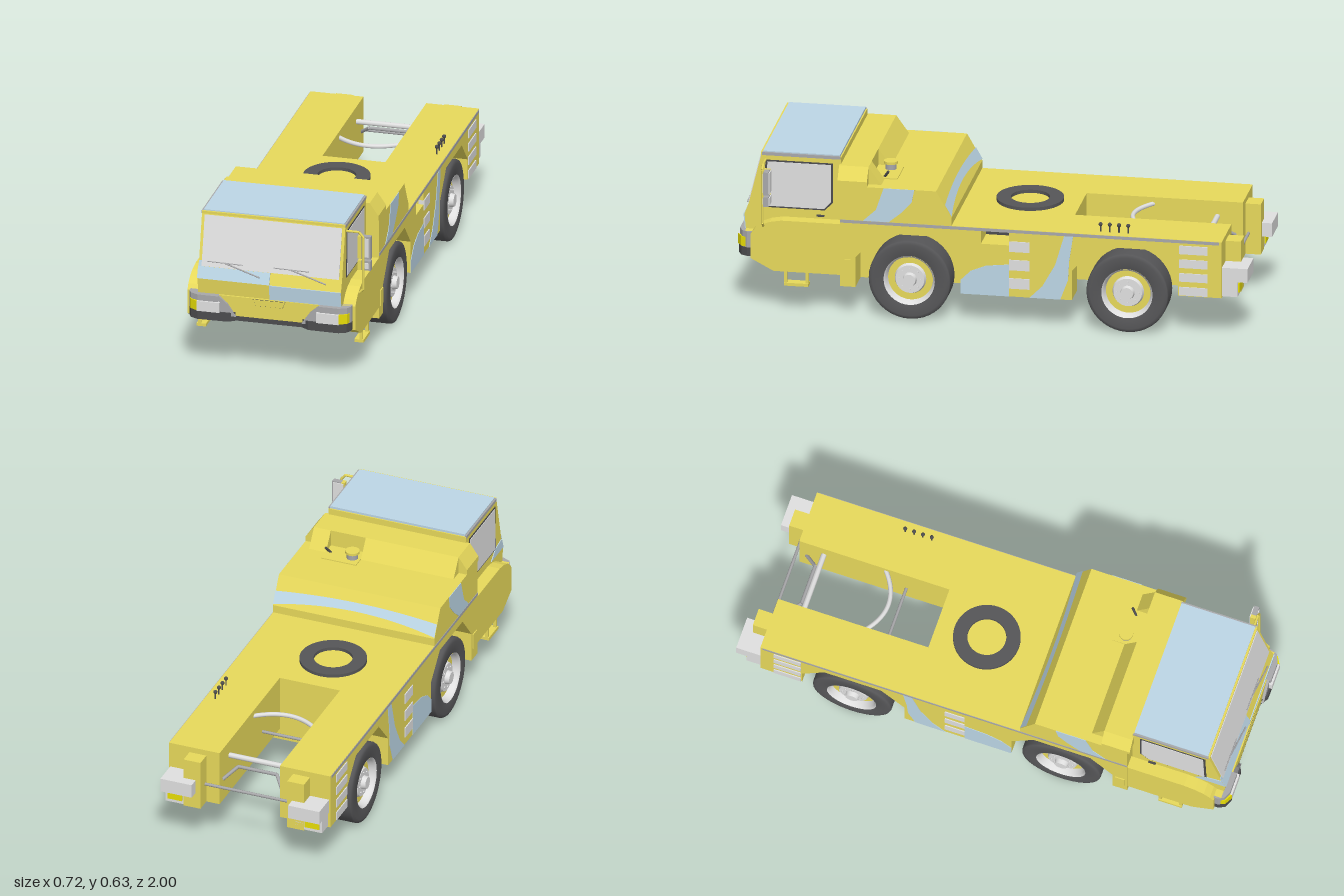
import * as THREE from 'three';

const mat = (name, color) => Object.assign(new THREE.MeshStandardMaterial({ color }), { name });

export function createModel() {
  const root = new THREE.Group();
  root.name = 'towTractor';
  const g = new THREE.Group(); // body is symmetric about its own centre line
  g.name = 'vehicle';
  g.position.x = -0.02;
  root.add(g);

  const yellow = mat('bodyYellow', 0xe7d95b);
  const blue = mat('patchBlue', 0xbcd6e6);
  const glass = mat('glassGrey', 0xe0e0e0);
  const metal = mat('metalGrey', 0xe0e0e0);
  const trim = mat('trimGrey', 0xa8a8aa);
  const dark = mat('darkGrey', 0x4c4c4e);
  const rubber = mat('rubber', 0x565658);
  const amber = mat('lampYellow', 0xf0e608);
  metal.side = THREE.DoubleSide;

  const add = (name, geo, m, parent = g) => {
    const mesh = new THREE.Mesh(geo, m);
    mesh.name = name;
    parent.add(mesh);
    return mesh;
  };
  // box from min/max limits
  const box = (name, m, x0, x1, y0, y1, z0, z1) => {
    const b = add(name, new THREE.BoxGeometry(x1 - x0, y1 - y0, z1 - z0), m);
    b.position.set((x0 + x1) / 2, (y0 + y1) / 2, (z0 + z1) / 2);
  };
  const pairBox = (name, m, x0, x1, ...r) => {
    box(name, m, x0, x1, ...r);
    box(name, m, -x1, -x0, ...r);
  };
  // [z, y] outline extruded across x
  const side = (name, m, pts, x0, x1) => {
    const shape = new THREE.Shape(pts.map(([z, y]) => new THREE.Vector2(-z, y)));
    const geo = new THREE.ExtrudeGeometry(shape, { depth: x1 - x0, bevelEnabled: false });
    add(name, geo.rotateY(Math.PI / 2).translate(x0, 0, 0), m);
  };
  const pairSide = (name, m, pts, x0, x1) => {
    side(name, m, pts, x0, x1);
    side(name, m, pts, -x1, -x0);
  };
  // [x, y] outline extruded along z
  const front = (name, m, pts, z0, z1) => {
    const shape = new THREE.Shape(pts.map(([x, y]) => new THREE.Vector2(x, y)));
    const geo = new THREE.ExtrudeGeometry(shape, { depth: z1 - z0, bevelEnabled: false });
    add(name, geo.translate(0, 0, z0), m);
  };
  // [x, z] outline extruded upwards
  const plan = (name, m, pts, y0, y1) => {
    const shape = new THREE.Shape(pts.map(([x, z]) => new THREE.Vector2(x, -z)));
    const geo = new THREE.ExtrudeGeometry(shape, { depth: y1 - y0, bevelEnabled: false });
    add(name, geo.rotateX(-Math.PI / 2).translate(0, y0, 0), m);
  };
  // thin plate lying on a sloped line from [z, y] a to b
  const strip = (name, m, a, b, x0, x1, t = 0.004) => {
    const dz = b[0] - a[0], dy = b[1] - a[1], l = Math.hypot(dz, dy);
    const n = [-dy / l * t, dz / l * t];
    side(name, m, [a, b, [b[0] + n[0], b[1] + n[1]], [a[0] + n[0], a[1] + n[1]]], x0, x1);
  };
  const bar = (name, m, a, b, r) => {
    const A = new THREE.Vector3(...a), B = new THREE.Vector3(...b), d = B.clone().sub(A);
    const c = add(name, new THREE.CylinderGeometry(r, r, d.length(), 8), m);
    c.position.copy(A).add(B).multiplyScalar(0.5);
    c.quaternion.setFromUnitVectors(new THREE.Vector3(0, 1, 0), d.normalize());
  };

  // chassis: side panels with angular wheel arches, core, rear rails
  const W = 0.335;
  const panel = [
    [0.59, 0.385], [0.59, 0.12], [0.53, 0.12], [0.53, 0.24], [0.44, 0.345], [0.21, 0.345],
    [0.12, 0.25], [0.12, 0.12], [-0.315, 0.12], [-0.315, 0.24], [-0.41, 0.345], [-0.64, 0.345],
    [-0.73, 0.25], [-0.73, 0.165], [-0.9, 0.165], [-0.9, 0.385]];
  const notch = [[-0.07, 0.385], [-0.07, 0.328], [0.04, 0.328], [0.04, 0.385]];
  side('leftSidePanel', yellow, [...panel, ...notch], 0.22, W);
  side('rightSidePanel', yellow, panel, -W, -0.22);
  box('leftRecessBack', dark, 0.22, 0.224, 0.328, 0.385, -0.07, 0.04);
  box('chassisCore', yellow, -0.22, 0.22, 0.12, 0.385, -0.29, 0.59);
  pairBox('rearRail', yellow, 0.125, 0.22, 0.165, 0.385, -0.9, -0.29);
  box('deck', yellow, -W, W, 0.385, 0.393, -0.29, 0.59);
  pairBox('rearDeck', yellow, 0.125, W, 0.385, 0.393, -0.9, -0.29);
  pairBox('deckEdge', trim, W, W + 0.002, 0.38, 0.392, -0.89, 0.59);

  // painted side patches
  pairSide('sidePatch', blue, [[0.12, 0.12], [0.12, 0.175], [0.08, 0.215], [0.02, 0.24], [-0.07, 0.25],
    [-0.07, 0.12]], W, W + 0.002);
  pairSide('sideStripe', blue, [[-0.15, 0.12], [-0.2, 0.17], [-0.25, 0.26], [-0.285, 0.38], [-0.32, 0.38],
    [-0.305, 0.28], [-0.3, 0.2], [-0.27, 0.12]], W, W + 0.002);
  pairSide('hoodPatch', blue, [[0.5, 0.393], [0.45, 0.44], [0.42, 0.53], [0.3, 0.53], [0.31, 0.48],
    [0.35, 0.435], [0.4, 0.393]], W, W + 0.002);

  // ladder steps
  for (let i = 0; i < 3; i++) {
    const y = 0.153 + i * 0.075;
    pairBox('middleStep', metal, W - 0.02, W + 0.004, y, y + 0.042, -0.15, -0.07);
  }
  for (let i = 0; i < 4; i++) {
    const y = 0.168 + i * 0.056;
    pairBox('rearStep', metal, W - 0.02, W + 0.004, y, y + 0.034, -0.845, -0.735);
  }
  pairBox('frontFoothold', yellow, W, W + 0.004, 0.168, 0.232, 0.541, 0.579);

  // engine hood behind the cab, with a filler bay cut into its slope
  side('hood', yellow, [[0.59, 0.39], [0.59, 0.53], [0.215, 0.53], [0.155, 0.425], [0.155, 0.39]], -W, W);
  front('tallHood', yellow, [[-W, 0.53], [W, 0.53], [W, 0.55], [0.3, 0.6], [-0.3, 0.6], [-W, 0.55]], 0.485, 0.6);
  const ramp = [[0.485, 0.53], [0.485, 0.6], [0.435, 0.53]];
  side('hoodSlope', yellow, ramp, -0.3, 0.085);
  side('hoodSlope', yellow, ramp, 0.23, 0.3);
  box('fillerPlate', yellow, 0.085, 0.23, 0.53, 0.534, 0.385, 0.485);
  add('fillerPipe', new THREE.CylinderGeometry(0.022, 0.022, 0.03, 16), trim).position.set(0.118, 0.545, 0.43);
  add('fillerCap', new THREE.CylinderGeometry(0.028, 0.028, 0.01, 16), yellow).position.set(0.118, 0.562, 0.43);
  bar('fillerLever', dark, [0.21, 0.53, 0.44], [0.225, 0.56, 0.42], 0.005);

  // arched stripe laid on the sloping back of the hood
  const arch = new THREE.Shape();
  arch.moveTo(-W, 0.157).quadraticCurveTo(0, 0.193, W, 0.157).lineTo(W, 0.183).quadraticCurveTo(0, 0.201, -W, 0.183);
  const archGeo = new THREE.ShapeGeometry(arch, 16);
  const ap = archGeo.attributes.position;
  for (let i = 0; i < ap.count; i++) {
    const z = ap.getY(i);
    ap.setXYZ(i, -ap.getX(i), 0.427 + (z - 0.155) * 1.75, z - 0.003);
  }
  archGeo.computeVertexNormals();
  add('hoodStripe', archGeo, blue);

  // cab
  const C = 0.285;
  side('cabUpper', yellow, [[0.595, 0.3], [0.965, 0.3], [0.972, 0.375], [0.955, 0.42], [0.905, 0.625],
    [0.595, 0.625]], -C, C);
  side('cabLower', yellow, [[0.59, 0.165], [0.85, 0.165], [0.95, 0.217], [0.965, 0.315], [0.59, 0.315]], -0.315, 0.315);
  // fender along each side, its top rounding down towards the front
  pairSide('cabFender', yellow, [[0.59, 0.165], [0.85, 0.165], [0.94, 0.212], [0.94, 0.31], [0.925, 0.33],
    [0.9, 0.35], [0.865, 0.364], [0.82, 0.372], [0.59, 0.372]], C, W - 0.001);
  box('roof', blue, -C + 0.005, C - 0.005, 0.625, 0.634, 0.6, 0.9);
  pairBox('roofGutter', trim, C - 0.005, C + 0.002, 0.618, 0.63, 0.598, 0.903);
  box('roofFrontEdge', yellow, -C, C, 0.62, 0.63, 0.9, 0.908);

  // windscreen lies on the sloped front
  const slope = y => 0.955 - (y - 0.42) * 0.05 / 0.205;
  strip('windscreen', glass, [slope(0.616), 0.616], [slope(0.421), 0.421], -0.273, 0.273, 0.004);
  strip('frontPatchUpper', blue, [0.955, 0.42], [0.972, 0.375], -C, 0);
  strip('frontPatchLower', blue, [0.972, 0.375], [0.9664, 0.315], 0, C);
  strip('pillarPatch', blue, [slope(0.442), 0.442], [0.955, 0.42], -C, -0.273, 0.003);
  side('cabSidePatch', blue, [[0.85, 0.375], [0.971, 0.375], [0.955, 0.42], [0.89, 0.41]], -C - 0.003, -C);

  // side windows
  pairSide('sideWindowSeal', dark, [[0.89, 0.6], [0.895, 0.407], [0.658, 0.407], [0.626, 0.441], [0.626, 0.6]], C, C + 0.002);
  pairSide('sideWindow', glass, [[0.882, 0.594], [0.887, 0.413], [0.66, 0.413], [0.633, 0.443], [0.633, 0.594]], C, C + 0.004);
  pairBox('doorHandle', dark, C, C + 0.008, 0.382, 0.388, 0.66, 0.69);

  // wipers
  for (const x of [-0.04, 0.223]) {
    bar('wiperArm', trim, [x, 0.402, 0.97], [x - 0.14, 0.442, 0.958], 0.003);
    bar('wiperBlade', trim, [x - 0.21, 0.443, 0.957], [x - 0.07, 0.441, 0.957], 0.002);
  }

  // bumper and lamps
  plan('bumper', dark, [[-0.322, 0.925], [-0.322, 0.955], [-0.31, 0.98], [-0.28, 0.994], [-0.16, 0.992], [-0.13, 0.972],
    [0.13, 0.972], [0.16, 0.992], [0.28, 0.994], [0.31, 0.98], [0.322, 0.955], [0.322, 0.925]], 0.215, 0.25);
  box('bumperPanel', yellow, -0.2, 0.2, 0.235, 0.315, 0.94, 0.974);
  front('grabRecessLine', dark, [[-0.065, 0.312], [-0.054, 0.286], [0.054, 0.286], [0.065, 0.312]], 0.97, 0.975);
  front('grabRecess', yellow, [[-0.064, 0.311], [-0.053, 0.287], [0.053, 0.287], [0.064, 0.311]], 0.97, 0.9765);
  for (const s of [1, -1]) {
    const wing = [[0.13, 0.235], [0.2, 0.235], [0.2, 0.315], [0.165, 0.285]];
    front('lampWing', trim, wing.map(([x, y]) => [s * x, y]), 0.935, 0.984);
    const pod = [[0.2, 0.93], [0.322, 0.93], [0.322, 0.955], [0.31, 0.976], [0.28, 0.99], [0.2, 0.99]];
    plan('lampPod', trim, pod.map(([x, z]) => [s * x, z]), 0.25, 0.315);
    const lens = [[0.282, 0.96], [0.32, 0.955], [0.312, 0.98], [0.282, 0.997]];
    plan('turnLamp', amber, lens.map(([x, z]) => [s * x, z]), 0.252, 0.291);
  }
  pairBox('headlamp', metal, 0.192, 0.282, 0.25, 0.291, 0.95, 0.998);

  // cab entry steps
  pairBox('entryStepTread', yellow, 0.295, 0.332, 0.107, 0.119, 0.715, 0.81);
  pairBox('entryStepPost', yellow, 0.315, 0.327, 0.107, 0.17, 0.715, 0.727);
  pairBox('entryStepPost', yellow, 0.315, 0.327, 0.107, 0.17, 0.798, 0.81);

  // mirrors on the left side only
  const arm = [[0.28, 0.6], [0.335, 0.6], [0.352, 0.58], [0.352, 0.365], [0.335, 0.347], [0.28, 0.347]];
  for (let i = 0; i < arm.length - 1; i++) bar('mirrorArm', yellow, [...arm[i], 0.89], [...arm[i + 1], 0.89], 0.005);
  for (const [y0, y1] of [[0.487, 0.58], [0.44, 0.479]]) {
    box('mirrorBracket', yellow, 0.328, 0.342, y0, y1, 0.862, 0.884);
    box('mirrorHousing', trim, 0.342, 0.379, y0, y1, 0.862, 0.882);
    box('mirrorFront', metal, 0.35, 0.372, y0 + 0.008, y1 - 0.008, 0.882, 0.885);
    box('mirrorGlass', metal, 0.332, 0.375, y0 + 0.004, y1 - 0.004, 0.858, 0.862);
  }

  // wheels: axis along x, outer face at +x
  const lathe = pts => new THREE.LatheGeometry(pts.map(p => new THREE.Vector2(...p)), 40).rotateZ(-Math.PI / 2);
  const disc = (name, m, r0, r1, h, x, w) =>
    add(name, new THREE.CylinderGeometry(r0, r1, h, 32).rotateZ(-Math.PI / 2), m, w).position.x = x;
  const wheel = (s, z) => {
    const w = new THREE.Group();
    w.name = 'wheel';
    w.position.set(s * 0.282, 0.16, z);
    if (s < 0) w.rotation.y = Math.PI;
    g.add(w);
    add('tyre', lathe([[0.1, -0.052], [0.145, -0.053], [0.157, -0.049], [0.16, -0.042], [0.16, 0.042], [0.157, 0.049],
      [0.145, 0.053], [0.1, 0.052], [0.097, 0.04]]), rubber, w);
    add('rimLip', lathe([[0.086, 0.015], [0.092, 0.045], [0.1, 0.053]]), metal, w);
    disc('rimRing', yellow, 0.088, 0.088, 0.07, -0.012, w);
    disc('wheelDisc', metal, 0.056, 0.062, 0.016, 0.03, w);
    disc('hub', metal, 0.024, 0.028, 0.02, 0.046, w);
    disc('innerDisc', trim, 0.1, 0.1, 0.02, -0.038, w);
    for (let i = 0; i < 8; i++) {
      const a = i * Math.PI / 4;
      add('wheelNut', new THREE.CylinderGeometry(0.004, 0.004, 0.01, 6).rotateZ(Math.PI / 2), metal, w)
        .position.set(0.038, 0.042 * Math.cos(a), 0.042 * Math.sin(a));
    }
  };
  for (const s of [1, -1]) for (const z of [0.32, -0.53]) wheel(s, z);

  // ring on the deck
  const ring = new THREE.Shape().absarc(0, 0, 0.13, 0, Math.PI * 2);
  ring.holes.push(new THREE.Path().absarc(0, 0, 0.075, 0, Math.PI * 2));
  const ringGeo = new THREE.ExtrudeGeometry(ring, { depth: 0.013, bevelEnabled: false, curveSegments: 40 });
  add('deckRing', ringGeo.rotateX(-Math.PI / 2), rubber).position.set(-0.015, 0.393, -0.09);

  // control posts on the left of the deck
  for (let i = 0; i < 4; i++) {
    const z = -0.42 - i * 0.036;
    bar('controlPost', dark, [0.295, 0.39, z], [0.295, 0.425, z], 0.003);
    add('controlKnob', new THREE.SphereGeometry(0.008, 10, 8), dark).position.set(0.295, 0.423, z);
  }

  // rear end
  pairBox('rearBlock', yellow, 0.18, 0.25, 0.165, 0.37, -0.96, -0.9);
  pairBox('rearBuffer', metal, 0.2, 0.33, 0.232, 0.288, -1, -0.895);
  pairBox('rearLampBox', metal, 0.215, 0.325, 0.17, 0.232, -0.96, -0.9);
  pairBox('rearLamp', amber, 0.255, 0.315, 0.185, 0.222, -0.966, -0.958);

  // coupling bars in the rear bay
  bar('rearCrossbar', trim, [-0.18, 0.25, -0.912], [0.18, 0.25, -0.912], 0.006);
  bar('bayBar', metal, [-0.13, 0.33, -0.8], [0.13, 0.33, -0.8], 0.011);
  bar('bayBarLower', trim, [-0.08, 0.3, -0.82], [0.08, 0.3, -0.82], 0.007);
  for (const s of [1, -1]) bar('bayLink', trim, [s * 0.08, 0.3, -0.82], [s * 0.125, 0.26, -0.87], 0.007);
  bar('bayFrontBar', trim, [-0.13, 0.25, -0.465], [0.13, 0.25, -0.465], 0.006);
  const arc = new THREE.QuadraticBezierCurve3(new THREE.Vector3(-0.13, 0.365, -0.55),
    new THREE.Vector3(0, 0.365, -0.44), new THREE.Vector3(0.13, 0.365, -0.55));
  add('bayArc', new THREE.TubeGeometry(arc, 20, 0.009, 8), metal);

  return root;
}
